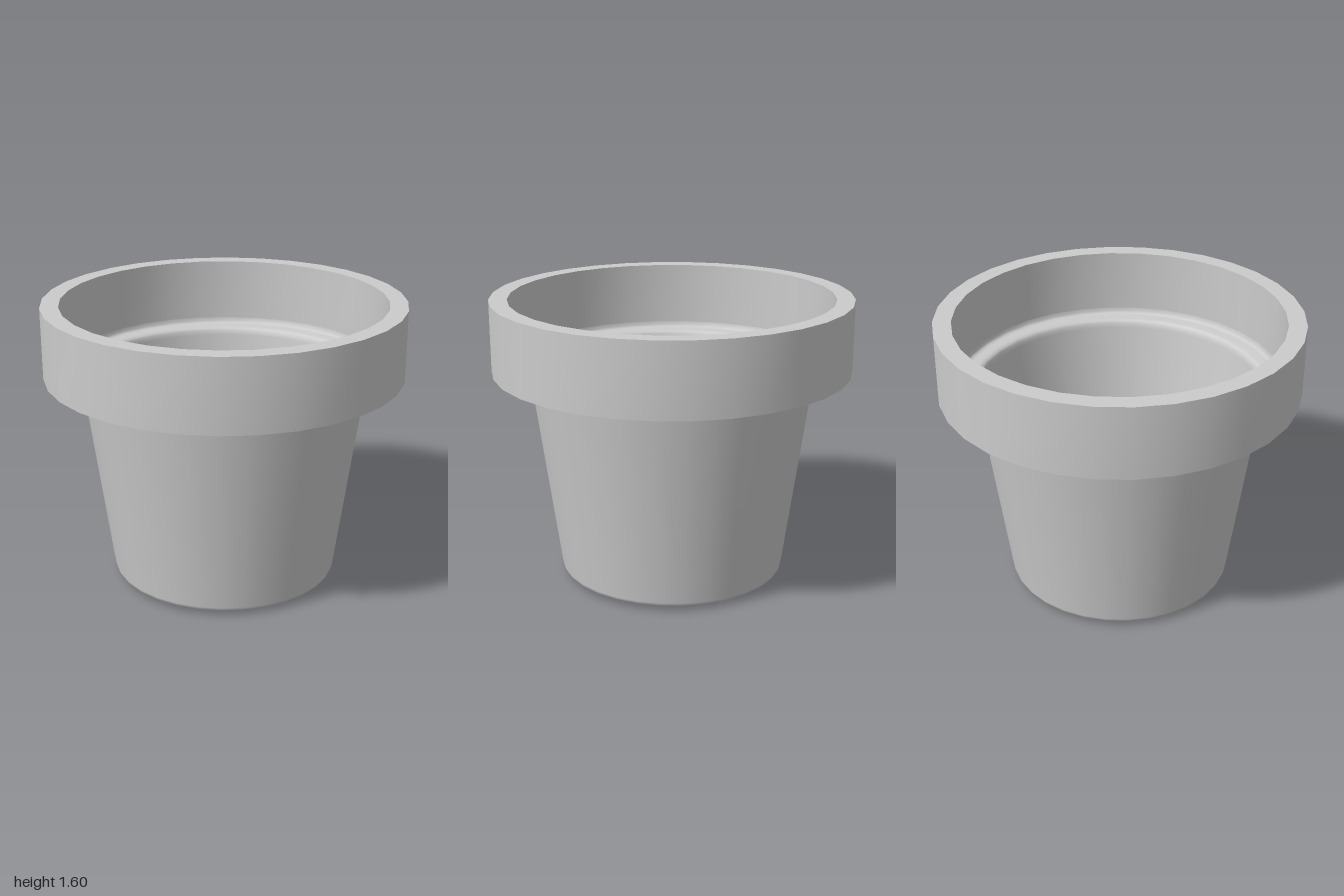
import * as THREE from 'three';
import { toCreasedNormals } from 'three/addons/utils/BufferGeometryUtils.js';

const SIDES = 32;

export function createModel() {
  const pot = new THREE.Group();
  pot.name = 'flowerPot';
  const material = new THREE.MeshStandardMaterial({ color: 0xcccccc, side: THREE.DoubleSide });

  // Turns a [radius, height] profile around the y axis
  function turned(name, profile, sharp) {
    const points = profile.map(([r, y]) => new THREE.Vector2(r, y));
    let geometry = new THREE.LatheGeometry(points, SIDES);
    if (sharp) geometry = toCreasedNormals(geometry, Math.PI / 6);
    const mesh = new THREE.Mesh(geometry, material);
    mesh.name = name;
    pot.add(mesh);
  }

  // Base: pressed-down foot ring around a raised centre disc
  turned('base', [
    [0, 0.02], [0.28, 0.02], [0.3, 0], [0.44, 0], [0.46, 0.02], [0.6, 0.02],
  ], true);

  // Thin tapered wall, rounded at the floor and curling out into the ledge
  turned('wall', [
    [0.6, 0.02], [0.62, 0.024], [0.634, 0.032], [0.64, 0.05],
    [0.79, 1.165], [0.794, 1.19], [0.805, 1.203], [0.825, 1.21],
    [0.87, 1.21], [0.888, 1.214], [0.897, 1.225], [0.9, 1.245],
  ], false);

  // Thick collar with square edges
  turned('rim', [
    [0.9, 1.245], [0.9, 1.6], [1, 1.6], [1, 1.2], [0.9, 1.2], [0.9, 1.245],
  ], true);

  return pot;
}
